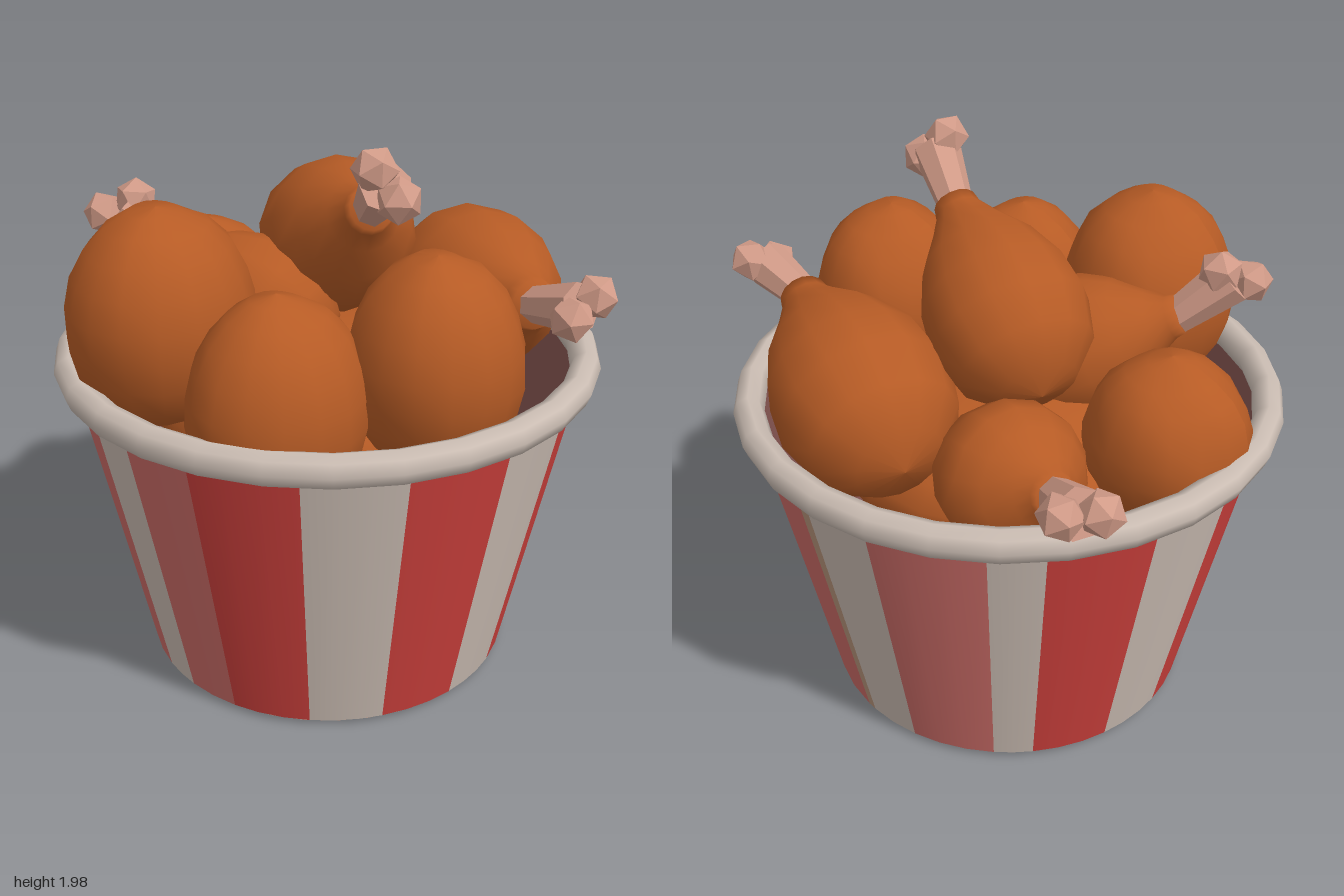
import * as THREE from 'three';

const mat = (name, color, side = THREE.FrontSide) => {
  const m = new THREE.MeshStandardMaterial({ color, side });
  m.name = name;
  return m;
};
const V = (p) => new THREE.Vector3(...p);
const UP = new THREE.Vector3(0, 1, 0);

export function createModel() {
  const white = mat('off white', 0xcbbdb3);
  const red = mat('red', 0xcc403c);
  const salmon = mat('faded red', 0xcb6c67);
  const tan = mat('tan', 0xb8937a);
  const inside = mat('dark inside', 0x845450, THREE.BackSide);
  const base = mat('base brown', 0xa88a7c, THREE.DoubleSide);
  const meat = mat('fried brown', 0xb65b25);
  const bone = mat('bone pink', 0xd09a87);

  const model = new THREE.Group();
  model.name = 'chickenBucket';
  const add = (parent, name, geo, material, pos = [0, 0, 0]) => {
    const m = new THREE.Mesh(geo, material);
    m.name = name;
    m.position.set(...pos);
    parent.add(m);
    return m;
  };

  // Bucket: wall split into stripes, angles in degrees from the front towards +x
  const bucket = new THREE.Group();
  bucket.name = 'bucket';
  bucket.position.set(-0.035, 0, 0);
  model.add(bucket);
  const stripes = [
    [-9, salmon], [8, red], [32, white], [54, red], [78, white], [99, red], [118, tan],
    [121, white], [127, salmon], [157, tan], [160, white], [177, salmon], [203, white],
    [215, red], [239, white], [261, red], [284, white], [304, salmon], [338, white], [351, null],
  ];
  const rad = THREE.MathUtils.degToRad;
  for (let i = 0; i < stripes.length - 1; i++) {
    const [a, material] = stripes[i];
    const len = stripes[i + 1][0] - a;
    const geo = new THREE.CylinderGeometry(0.9, 0.665, 1.13, Math.ceil(len / 10), 1, true, rad(a), rad(len));
    add(bucket, 'wallStripe', geo, material, [0, 0.585, 0]);
  }
  add(bucket, 'innerWall', new THREE.CylinderGeometry(0.885, 0.65, 1.13, 36, 1, true), inside, [0, 0.585, 0]);
  add(bucket, 'bottomEdge', new THREE.CylinderGeometry(0.665, 0.64, 0.02, 36, 1, true), white, [0, 0.01, 0]);
  const floor = add(bucket, 'floor', new THREE.CircleGeometry(0.642, 36), base);
  floor.rotation.x = Math.PI / 2;

  // Rolled rim
  const rim = add(bucket, 'rim', new THREE.TorusGeometry(0.903, 0.053, 8, 28), white, [0, 1.145, 0]);
  rim.rotation.x = Math.PI / 2;
  rim.scale.z = 1.1;

  // Push vertices in and out gently for an uneven crust
  const crust = (geo, seed) => {
    const p = geo.attributes.position;
    for (let i = 0; i < p.count; i++) {
      const v = new THREE.Vector3().fromBufferAttribute(p, i);
      const d = v.clone().normalize();
      v.multiplyScalar(1 + 0.025 * Math.sin(d.x * 5 + seed) * Math.cos(d.y * 4 + d.z * 5 + seed));
      p.setXYZ(i, v.x, v.y, v.z);
    }
    geo.computeVertexNormals();
    return geo;
  };

  // Boneless-looking lumps whose ends are buried in the pile
  const lumps = [
    [[-0.33, 1.36, 0.52], [0.31, 0.38, 0.33]],
    [[0.19, 1.2, 0.55], [0.29, 0.37, 0.31]],
    [[0.52, 1.29, 0.16], [0.29, 0.37, 0.3]],
    [[-0.66, 1.17, -0.08], [0.28, 0.3, 0.28]],
    [[-0.03, 0.95, 0], [0.62, 0.28, 0.62]],
  ];
  lumps.forEach(([c, s], i) => {
    const lump = add(model, 'chickenPiece', crust(new THREE.SphereGeometry(1, 16, 11), i * 1.7), meat, c);
    lump.scale.set(...s);
  });

  // Drumstick: meat centre, neck where meat ends, bone tip, meat radius, fork direction
  const facet = (geo) => {
    const g = geo.index ? geo.toNonIndexed() : geo;
    g.computeVertexNormals();
    return g;
  };
  const drumstick = ([c, n, t, R, fork], i) => {
    const group = new THREE.Group();
    group.name = 'drumstick';
    model.add(group);
    const [centre, neck, tip] = [V(c), V(n), V(t)];
    const axis = neck.clone().sub(centre);
    const L = axis.length();
    const profile = [
      [0, -R], [0.5 * R, -0.87 * R], [0.86 * R, -0.5 * R], [R, 0], [0.94 * R, 0.28 * L],
      [0.74 * R, 0.55 * L], [0.45 * R, 0.78 * L], [0.3 * R, 0.92 * L], [0.27 * R, L], [0, L + 0.01],
    ].map((q) => new THREE.Vector2(...q));
    const body = add(group, 'drumstickMeat', new THREE.LatheGeometry(profile, 14), meat, c);
    body.quaternion.setFromUnitVectors(UP, axis.normalize());

    // Shaft flaring towards a forked knuckle
    const shaftAxis = tip.clone().sub(neck);
    const len = shaftAxis.length();
    shaftAxis.normalize();
    const mid = neck.clone().lerp(tip, 0.4);
    const shaft = add(group, 'boneShaft', facet(new THREE.CylinderGeometry(0.085, 0.06, len, 7)), bone, mid.toArray());
    shaft.quaternion.setFromUnitVectors(UP, shaftAxis);
    for (const side of [-1, 1]) {
      const at = tip.clone().addScaledVector(V(fork).normalize(), side * 0.06).addScaledVector(shaftAxis, -0.01);
      const knob = add(group, 'boneKnuckle', facet(new THREE.IcosahedronGeometry(0.077, 0)), bone, at.toArray());
      knob.rotation.set(i, side, i * 0.5);
    }
  };
  [
    [[-0.13, 1.49, -0.17], [0.23, 1.74, 0.11], [0.38, 1.88, 0.24], 0.275, [-0.7, 0.7, 0.1]],
    [[-0.2, 1.28, 0.12], [-0.57, 1.46, 0.22], [-0.73, 1.61, 0.3], 0.25, [0.7, 0.4, -0.6]],
    [[-0.29, 1.14, -0.48], [-0.52, 1.24, -0.63], [-0.67, 1.31, -0.77], 0.255, [0.7, 0, -0.5]],
    [[0.22, 1.27, -0.51], [0.68, 1.42, -0.19], [0.89, 1.48, -0.13], 0.305, [0.2, 0.4, -0.9]],
  ].forEach(drumstick);

  return model;
}
